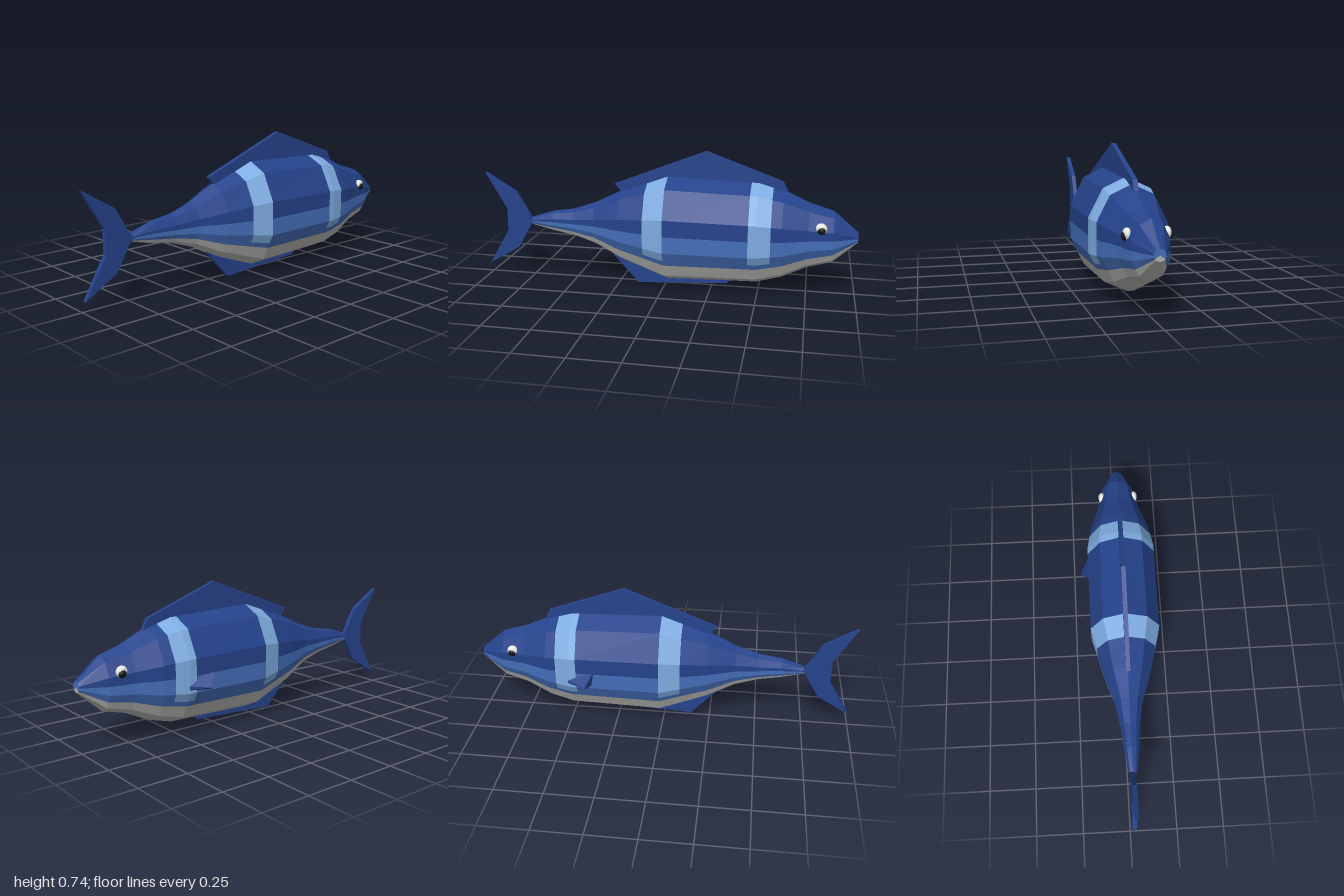
import * as THREE from 'three';
import { ConvexGeometry } from 'three/addons/geometries/ConvexGeometry.js';

const ZC = 0.024; // middle plane of the fish

function material(name, color) {
  const m = new THREE.MeshStandardMaterial({ color });
  m.name = name;
  return m;
}

// Body stations: x, top y, bottom y, half width
const STATIONS = [
  [-0.74, 0.338, 0.295, 0.022], [-0.62, 0.378, 0.265, 0.038], [-0.5, 0.396, 0.243, 0.05],
  [-0.38, 0.438, 0.203, 0.07], [-0.235, 0.51, 0.125, 0.118], [0.015, 0.602, 0.03, 0.1825],
  [0.49, 0.588, 0.044, 0.1825], [0.62, 0.55, 0.08, 0.158], [0.75, 0.49, 0.143, 0.114],
  [0.875, 0.452, 0.178, 0.086], [1.0, 0.345, 0.29, 0.028],
];
const BANDS = [[-0.095, 0.015], [0.453, 0.565]];

// Station interpolated at any x, used for the edges of the bands
function stationAt(x) {
  const i = STATIONS.findIndex((s) => s[0] >= x);
  if (STATIONS[i][0] === x) return STATIONS[i];
  const a = STATIONS[i - 1], b = STATIONS[i];
  const t = (x - a[0]) / (b[0] - a[0]);
  return a.map((v, k) => v + (b[k] - v) * t);
}

// Ten-sided section, with extra points where the colours change.
// Each entry is a position along the sides, counted from the top.
const HALF = [0, 1, 2, 2.5, 3, 3.33, 3.53, 4, 5];
const SECTION = [...HALF, ...HALF.slice(1, -1).reverse().map((p) => 10 - p)];

function sectionPoint(p) {
  const k = Math.floor(p), t = p - k;
  const at = (n) => [Math.cos(n * Math.PI / 5), Math.sin(n * Math.PI / 5) / Math.sin(Math.PI * 0.4)];
  const a = at(k), b = at(k + 1);
  return [a[0] + (b[0] - a[0]) * t, a[1] + (b[1] - a[1]) * t];
}

function makeBody(mats) {
  const group = new THREE.Group();
  group.name = 'body';
  const faces = { back: [], flank: [], belly: [], band: [] };
  const xs = [...new Set([...STATIONS.map((s) => s[0]), ...BANDS.flat()])].sort((a, b) => a - b);
  const rings = xs.map((x) => {
    const [, top, bottom, w] = stationAt(x);
    return SECTION.map((p) => {
      const [c, s] = sectionPoint(p);
      return [x, (top + bottom) / 2 + c * (top - bottom) / 2, ZC + s * w];
    });
  });
  const n = SECTION.length;
  for (let j = 0; j < n; j++) {
    const k = (j + 1) % n;
    const mid = (SECTION[j] + (k ? SECTION[k] : 10)) / 2;
    const depth = Math.min(mid, 10 - mid); // 0 at the top, 5 underneath
    const base = depth < 2.5 ? 'back' : depth < 3.53 ? 'flank' : 'belly';
    for (let i = 0; i < xs.length - 1; i++) {
      const mx = (xs[i] + xs[i + 1]) / 2;
      const banded = depth < 3.33 && BANDS.some(([a, b]) => mx > a && mx < b);
      const a = rings[i][j], b = rings[i][k], c = rings[i + 1][k], d = rings[i + 1][j];
      faces[banded ? 'band' : base].push(...b, ...c, ...d, ...b, ...d, ...a);
    }
    // Flat ends at the snout and the tail root
    const last = rings[xs.length - 1], first = rings[0];
    faces[base === 'belly' ? 'belly' : 'flank'].push(1, 0.3175, ZC, ...last[j], ...last[k]);
    faces.back.push(-0.74, 0.3165, ZC, ...first[k], ...first[j]);
  }
  for (const [name, positions] of Object.entries(faces)) {
    const g = new THREE.BufferGeometry();
    g.setAttribute('position', new THREE.Float32BufferAttribute(positions, 3));
    g.computeVertexNormals();
    const mesh = new THREE.Mesh(g, mats[name]);
    mesh.name = name;
    group.add(mesh);
  }
  return group;
}

// Flat fin cut from an outline in the middle plane
function makeFin(name, outline, mat) {
  const depth = 0.023;
  const shape = new THREE.Shape(outline.map(([x, y]) => new THREE.Vector2(x, y)));
  const g = new THREE.ExtrudeGeometry(shape, { depth, bevelEnabled: false });
  g.translate(0, 0, ZC - depth / 2);
  const mesh = new THREE.Mesh(g, mat);
  mesh.name = name;
  return mesh;
}

function makeEye(side, mats) {
  const eye = new THREE.Group();
  eye.name = side > 0 ? 'frontEye' : 'backEye';
  const ball = (name, r, depth, x, y, z, mat) => {
    const m = new THREE.Mesh(new THREE.SphereGeometry(r, 16, 10), mat);
    m.name = name;
    m.scale.z = depth / r;
    m.position.set(x, y, ZC + side * z);
    eye.add(m);
  };
  ball('eyeWhite', 0.03, 0.02, 0.812, 0.378, 0.09, mats.white);
  ball('pupil', 0.021, 0.018, 0.814, 0.371, 0.099, mats.black);
  return eye;
}

export function createModel() {
  const mats = {
    back: material('deep blue', 0x25438c),
    flank: material('mid blue', 0x446db8),
    belly: material('belly grey', 0xb4b4b2),
    band: material('pale blue', 0x7fade2),
    white: material('eye white', 0xe6e6e4),
    black: material('pupil black', 0x141414),
  };
  const fish = new THREE.Group();
  fish.name = 'fish';
  fish.add(makeBody(mats));

  fish.add(makeFin('dorsalFin', [
    [-0.272, 0.545], [-0.235, 0.505], [0.1, 0.48], [0.6, 0.48], [0.64, 0.54], [0.615, 0.592], [0.215, 0.736],
  ], mats.back));
  fish.add(makeFin('tailFin', [
    [-1, 0.577], [-0.885, 0.38], [-0.885, 0.255], [-1, 0.058], [-0.828, 0.16], [-0.738, 0.317], [-0.828, 0.473],
  ], mats.back));
  fish.add(makeFin('analFin', [
    [-0.31, 0.18], [-0.147, 0], [0.335, 0.027], [0.365, 0.06], [0.1, 0.15],
  ], mats.back));

  // Small wedge-shaped fin on one flank, widening towards the tail
  const wedge = [
    [0.51, 0.272, -0.15], [0.51, 0.25, -0.15], [0.36, 0.325, -0.17],
    [0.4, 0.258, -0.206], [0.39, 0.245, -0.19], [0.37, 0.247, -0.155], [0.36, 0.315, -0.15],
  ].map((p) => new THREE.Vector3(...p));
  const sideFin = new THREE.Mesh(new ConvexGeometry(wedge), mats.back);
  sideFin.name = 'sideFin';
  fish.add(sideFin);

  fish.add(makeEye(1, mats), makeEye(-1, mats));
  return fish;
}
